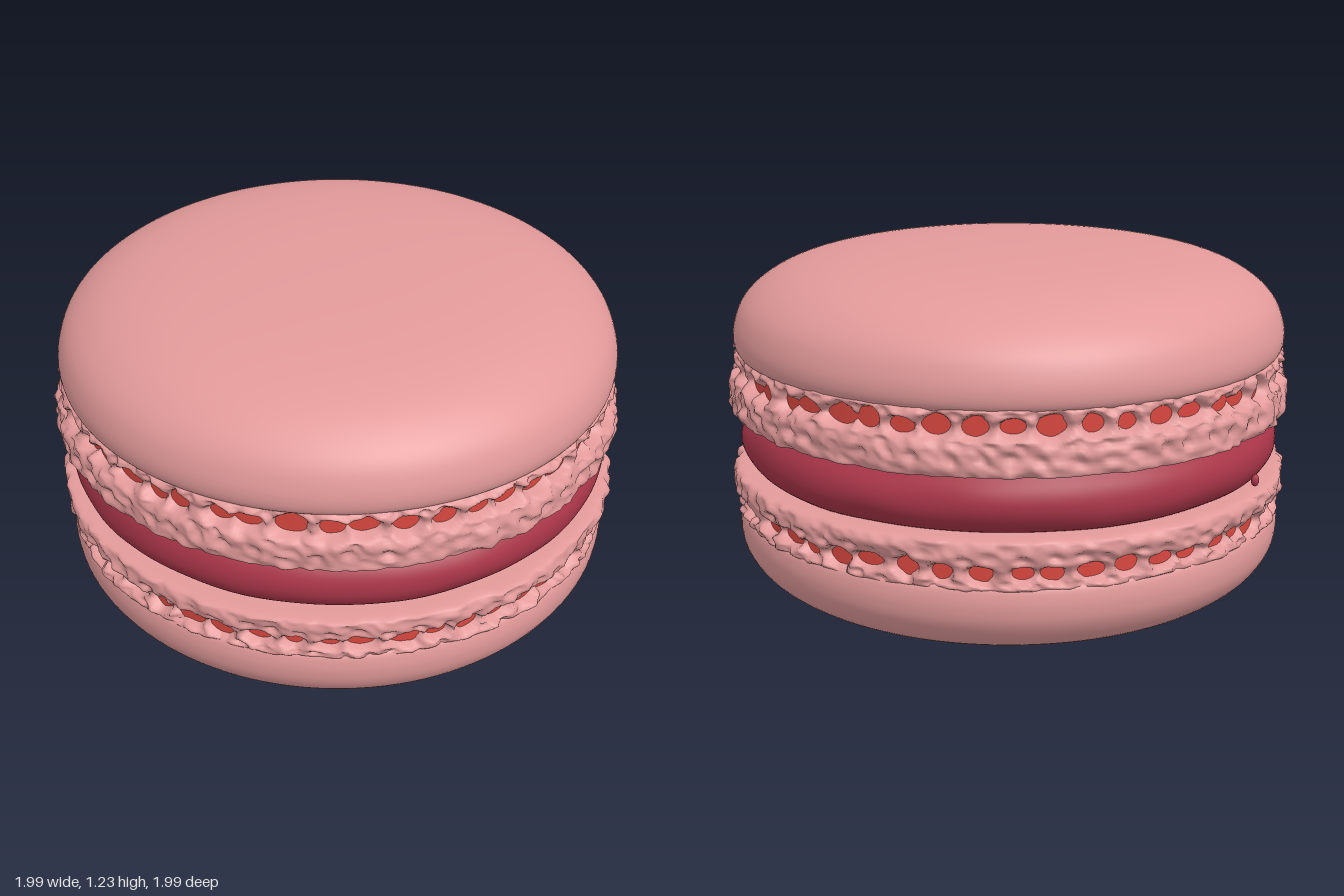
import * as THREE from 'three';
import { mergeVertices } from 'three/addons/utils/BufferGeometryUtils.js';

const mat = (name, color) => {
  const m = new THREE.MeshStandardMaterial({ color });
  m.name = name;
  return m;
};

// Repeatable pseudo-random value from 0 to 1
const hash = (a, b = 0) => {
  const s = Math.sin(a * 127.1 + b * 311.7) * 43758.5453;
  return s - Math.floor(s);
};

// Smooth value noise that wraps around the circumference
function noise(theta, y, cells, rowSize) {
  const u = (theta / (Math.PI * 2)) * cells, v = y / rowSize;
  const i = Math.floor(u), j = Math.floor(v);
  const s = (t) => t * t * (3 - 2 * t);
  const fu = s(u - i), fv = s(v - j);
  const at = (a, b) => hash(((a % cells) + cells) % cells, b);
  const low = THREE.MathUtils.lerp(at(i, j), at(i + 1, j), fu);
  const high = THREE.MathUtils.lerp(at(i, j + 1), at(i + 1, j + 1), fu);
  return THREE.MathUtils.lerp(low, high, fv) - 0.5;
}

// Smooth solid of revolution from a few [radius, height] points, listed bottom to top
function lathe(points, rows, segments, offset) {
  const curve = new THREE.SplineCurve(points.map(([r, y]) => new THREE.Vector2(r, y)));
  const profile = curve.getPoints(rows).map((p) => new THREE.Vector2(Math.max(p.x, 0), p.y));
  let geo = new THREE.LatheGeometry(profile, segments);
  geo.deleteAttribute('uv');
  geo.deleteAttribute('normal');
  geo = mergeVertices(geo, 1e-5);
  if (offset) {
    const pos = geo.attributes.position;
    for (let i = 0; i < pos.count; i++) {
      const x = pos.getX(i), y = pos.getY(i), z = pos.getZ(i);
      const r = Math.hypot(x, z);
      const k = (r + offset(Math.atan2(z, x) + Math.PI, y, r)) / r;
      pos.setX(i, x * k);
      pos.setZ(i, z * k);
    }
  }
  geo.computeVertexNormals();
  return geo;
}

// A row of irregular hollows around the foot
function pitRow(count, y, width, height, depth, seed) {
  const step = (Math.PI * 2) / count;
  const pits = Array.from({ length: count }, (_, i) => ({
    angle: (i + 0.5 + (hash(i, seed) - 0.5) * 0.3) * step,
    y: y + (hash(i, seed + 1) - 0.5) * 0.014,
    w: width * (0.75 + 0.5 * hash(i, seed + 2)),
    h: height * (0.8 + 0.4 * hash(i, seed + 3)),
  }));
  return (theta, py) => {
    const near = Math.floor(theta / step);
    let sum = 0;
    for (let k = near - 1; k <= near + 1; k++) {
      const p = pits[(k + count) % count];
      let da = theta - p.angle;
      da -= Math.round(da / (Math.PI * 2)) * Math.PI * 2;
      const d = (da / p.w) ** 2 + ((py - p.y) / p.h) ** 2;
      sum = Math.max(sum, Math.exp(-d * d));
    }
    return -depth * sum;
  };
}

// Bubbly foot: fine lumps plus rows of hollows, fading out on the flat inner face
function ruffle(rows) {
  return (theta, y, r) => {
    const fade = THREE.MathUtils.smoothstep(r, 0.92, 0.965);
    let d = 0.018 * noise(theta, y, 110, 0.03) + 0.012 * noise(theta, y + 5, 220, 0.018)
      + 0.008 * noise(theta, 9, 24, 1);
    for (const row of rows) d += row(theta, y);
    return d * fade;
  };
}

export function createModel() {
  const shell = mat('pink shell', 0xe39a9a);
  const filling = mat('berry filling', 0xa83548);
  const inside = mat('red crumb', 0xd8473f);
  const group = new THREE.Group();
  group.name = 'macaron';
  const add = (name, geo, material) => {
    const mesh = new THREE.Mesh(geo, material);
    mesh.name = name;
    group.add(mesh);
    return mesh;
  };

  // Smooth domes
  add('upperDome', lathe([
    [0.93, 0.875], [0.96, 0.895], [0.971, 0.93], [0.966, 0.98], [0.94, 1.045], [0.89, 1.1],
    [0.81, 1.15], [0.7, 1.187], [0.55, 1.212], [0.35, 1.227], [0.15, 1.233], [0, 1.234],
  ], 44, 128), shell);
  add('lowerDome', lathe([
    [0, 0.004], [0.15, 0.005], [0.4, 0.011], [0.6, 0.022], [0.74, 0.042], [0.84, 0.076],
    [0.915, 0.128], [0.958, 0.19], [0.971, 0.245], [0.969, 0.29], [0.958, 0.32], [0.93, 0.335],
  ], 44, 128), shell);

  // Ruffled feet with hollows
  add('upperFoot', lathe([
    [0.82, 0.684], [0.9, 0.682], [0.965, 0.682], [0.983, 0.695], [0.988, 0.74], [0.986, 0.79],
    [0.973, 0.81], [0.966, 0.835], [0.971, 0.86], [0.97, 0.885], [0.95, 0.9],
  ], 44, 480), shell).geometry;
  add('lowerFoot', lathe([
    [0.95, 0.305], [0.97, 0.32], [0.972, 0.345], [0.966, 0.37], [0.975, 0.395],
    [0.986, 0.425], [0.986, 0.46], [0.97, 0.479], [0.9, 0.48], [0.82, 0.478],
  ], 34, 480), shell).geometry;
  const ruffles = {
    upperFoot: ruffle([
      pitRow(50, 0.836, 0.046, 0.031, 0.075, 1),
      pitRow(62, 0.745, 0.024, 0.016, 0.016, 11),
      pitRow(70, 0.79, 0.02, 0.012, 0.012, 17),
      pitRow(74, 0.88, 0.022, 0.012, 0.014, 23),
    ]),
    lowerFoot: ruffle([
      pitRow(50, 0.368, 0.048, 0.028, 0.075, 31),
      pitRow(64, 0.42, 0.024, 0.014, 0.014, 41),
      pitRow(74, 0.33, 0.022, 0.011, 0.014, 47),
    ]),
  };
  for (const [name, offset] of Object.entries(ruffles)) {
    const geo = group.getObjectByName(name).geometry;
    const pos = geo.attributes.position;
    for (let i = 0; i < pos.count; i++) {
      const x = pos.getX(i), y = pos.getY(i), z = pos.getZ(i), r = Math.hypot(x, z);
      const k = 1 + offset(Math.atan2(z, x) + Math.PI, y, r) / r;
      pos.setXYZ(i, x * k, y, z * k);
    }
    geo.computeVertexNormals();
  }

  // Red crumb showing through the hollows
  for (const [name, y] of [['upperCrumb', 0.836], ['lowerCrumb', 0.37]]) {
    add(name, new THREE.CylinderGeometry(0.937, 0.937, 0.08, 128, 1, true), inside).position.y = y;
  }

  // Filling, bulging between the shells
  add('filling', lathe([
    [0.7, 0.474], [0.86, 0.474], [0.915, 0.492], [0.945, 0.53], [0.955, 0.57], [0.947, 0.615],
    [0.92, 0.655], [0.87, 0.688], [0.7, 0.69],
  ], 32, 128, (theta, y) => 0.012 * noise(theta, y, 30, 0.1)), filling);

  // Stray drop of filling
  const drop = add('fillingDrop', new THREE.SphereGeometry(0.014, 10, 8), filling);
  drop.position.set(-0.985, 0.54, 0);
  drop.scale.y = 1.5;
  return group;
}
